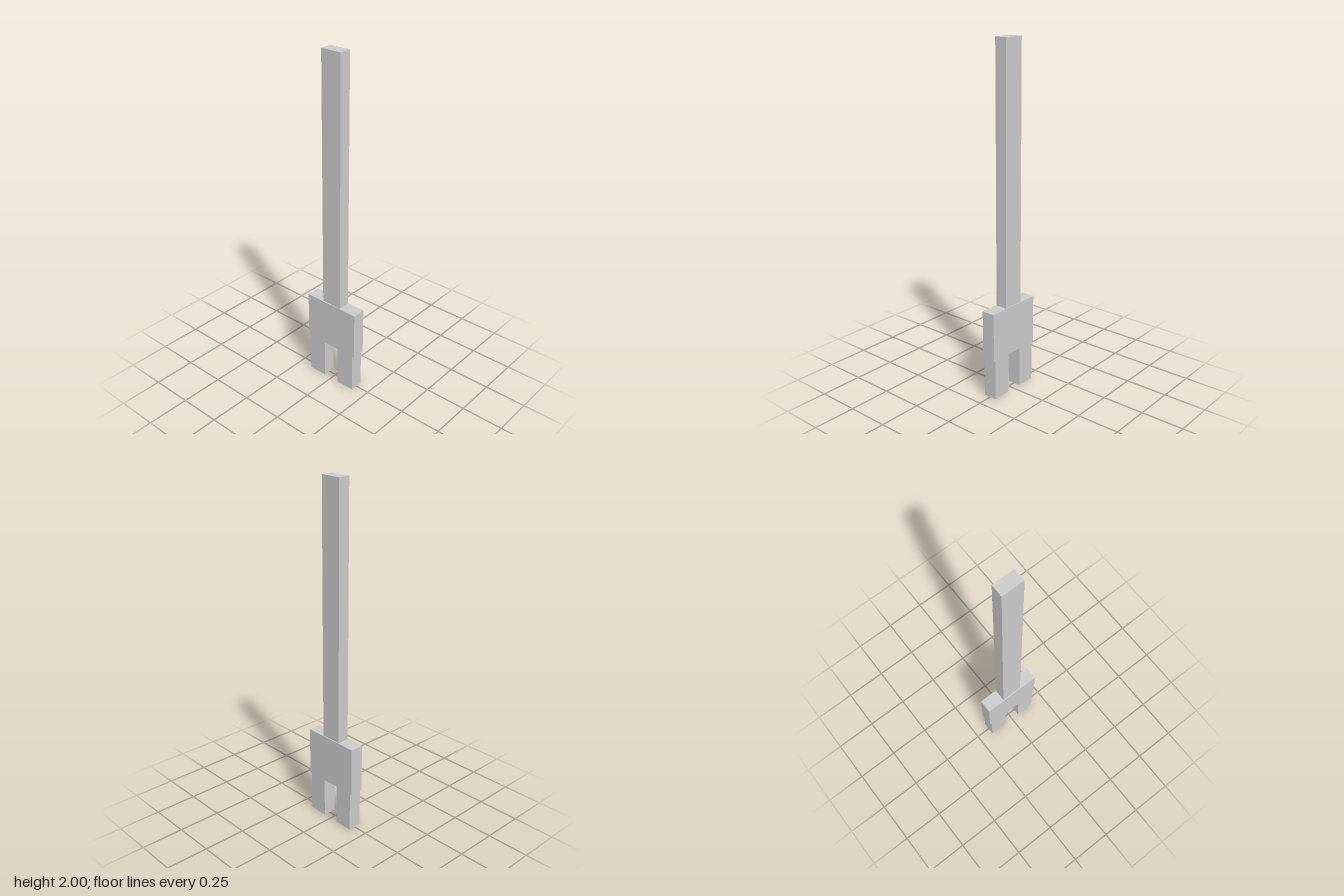
import * as THREE from 'three';

export function createModel() {
  const group = new THREE.Group();
  const material = new THREE.MeshStandardMaterial({ color: 0xcccccc, flatShading: true });

  // Box centred on x and z = 0 unless x is given, spanning y0 to y1
  function addBox(name, width, depth, y0, y1, x = 0) {
    const mesh = new THREE.Mesh(new THREE.BoxGeometry(width, y1 - y0, depth), material);
    mesh.name = name;
    mesh.position.set(x, (y0 + y1) / 2, 0);
    group.add(mesh);
  }

  // Long handle rising from the head
  addBox('shaft', 0.126, 0.07, 0.524, 2);

  // Wide block joining shaft and prongs
  addBox('head', 0.348, 0.08, 0.238, 0.524);

  // Pair of prongs with a gap between them
  for (const [name, side] of [['leftProng', 1], ['rightProng', -1]]) {
    addBox(name, 0.112, 0.08, 0, 0.238, side * 0.106);
  }

  return group;
}
